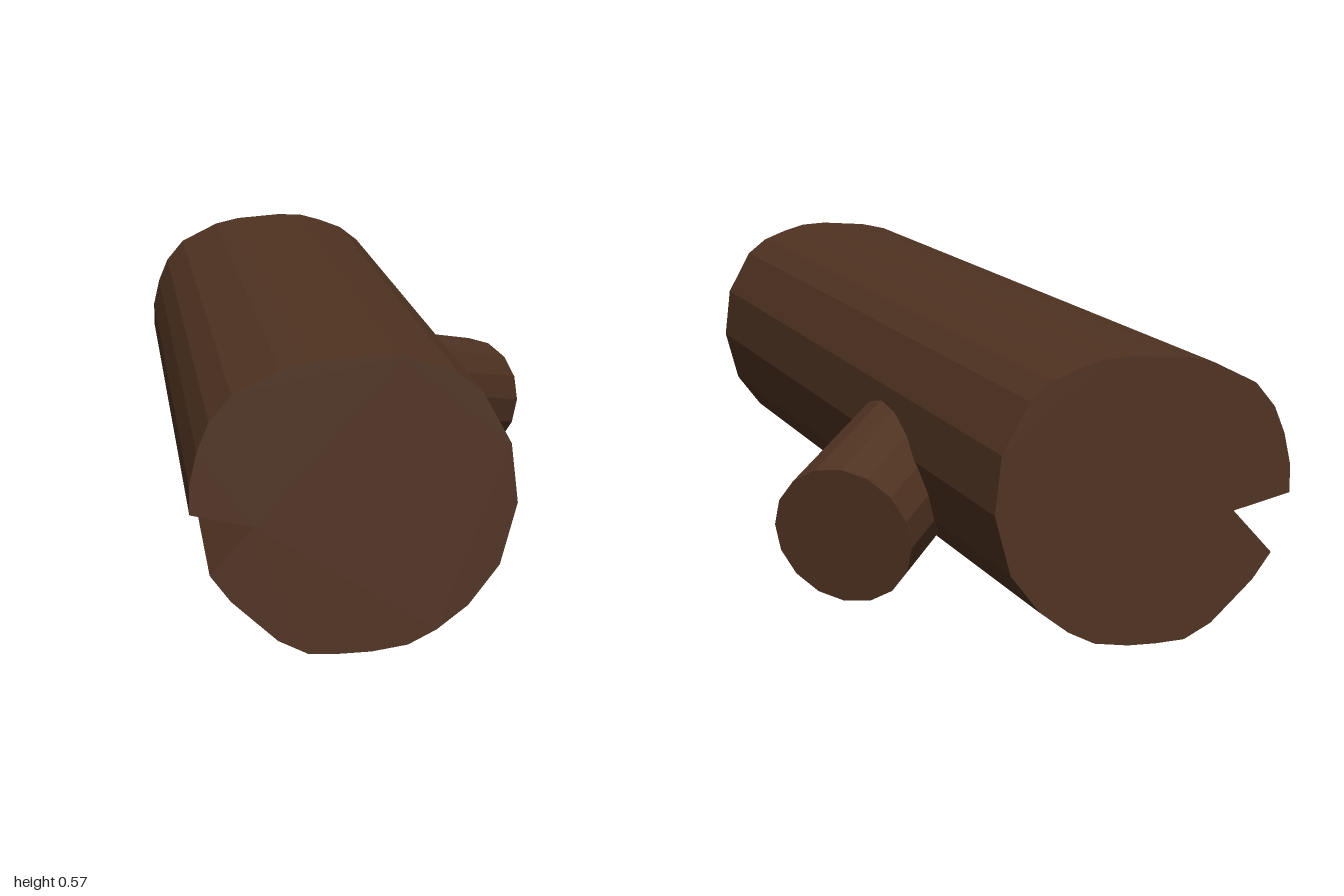
import * as THREE from 'three';

export function createModel() {
  const group = new THREE.Group();
  const bark = new THREE.MeshStandardMaterial({ color: 0x503322, flatShading: true });

  // Trunk: irregular round outline with a split wedge on one side
  const outline = [
    [-0.45, 0.28], [-0.33, 0.253], [-0.414, 0.162], [-0.375, 0.11], [-0.287, 0.03],
    [-0.23, 0.002], [-0.17, 0], [-0.11, 0.002], [-0.04, 0.013], [0.015, 0.041], [0.075, 0.087],
    [0.135, 0.165], [0.168, 0.285], [0.155, 0.4], [0.1, 0.5], [0.055, 0.535],
    [0, 0.556], [-0.05, 0.57], [-0.11, 0.573], [-0.22, 0.564], [-0.28, 0.55],
    [-0.37, 0.505], [-0.412, 0.455], [-0.435, 0.4], [-0.45, 0.335],
  ].map(([x, y]) => new THREE.Vector2(x, y));
  const trunkGeometry = new THREE.ExtrudeGeometry(new THREE.Shape(outline), { depth: 2, bevelEnabled: false });
  trunkGeometry.translate(0, 0, -1);
  const trunk = new THREE.Mesh(trunkGeometry, bark);
  trunk.name = 'trunk';
  group.add(trunk);

  // Branch stub: rooted inside the trunk, leaning outward, back and down
  const direction = new THREE.Vector3(0.64, -0.21, -0.74).normalize();
  const tip = new THREE.Vector3(0.333, 0.149, -0.572);
  const length = 0.7;
  const branch = new THREE.Mesh(new THREE.CylinderGeometry(0.151, 0.151, length, 16), bark);
  branch.name = 'branchStub';
  branch.quaternion.setFromUnitVectors(new THREE.Vector3(0, 1, 0), direction);
  branch.position.copy(tip).addScaledVector(direction, -length / 2);
  group.add(branch);

  return group;
}
